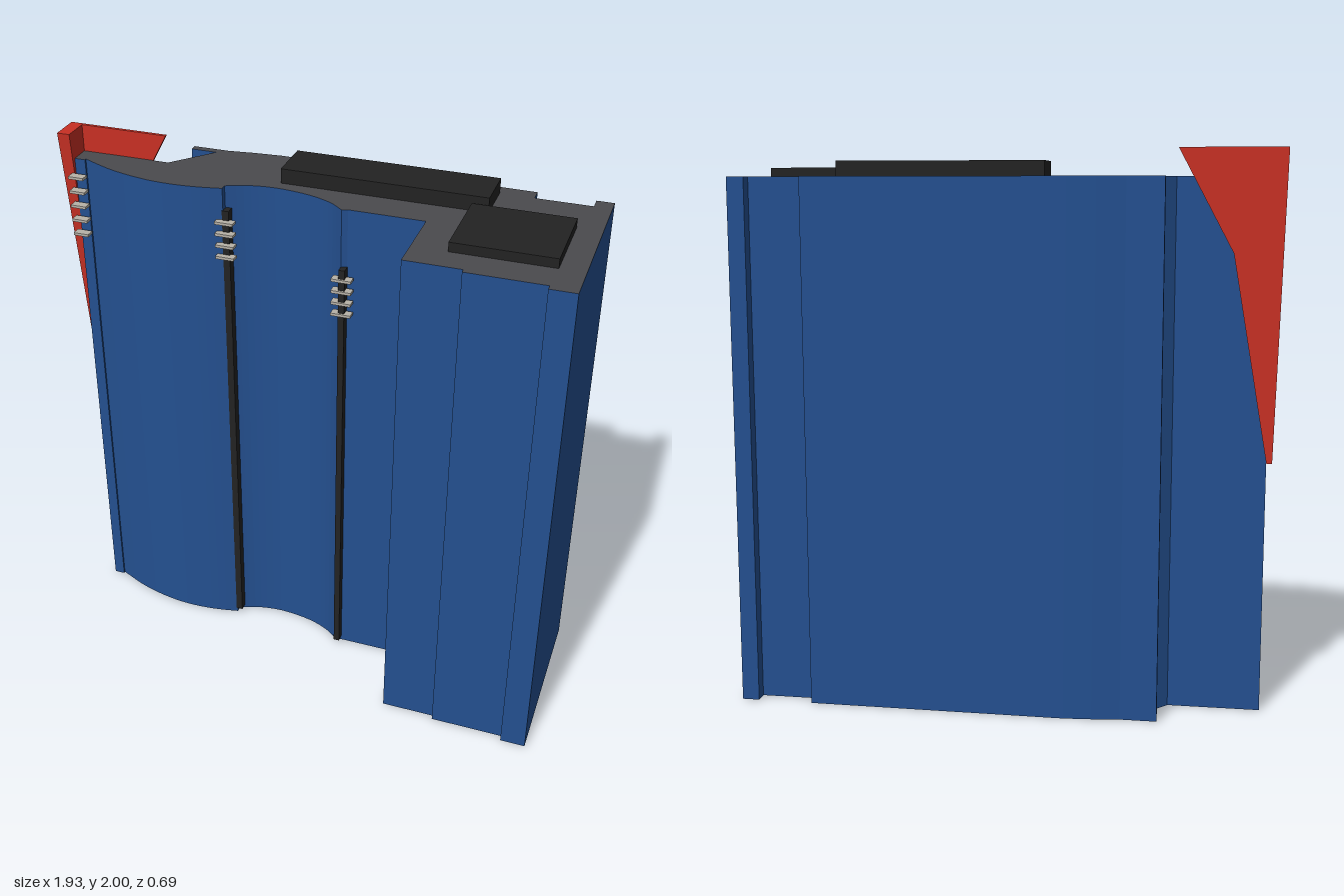
import * as THREE from 'three';

const mat = (name, color) => {
  const m = new THREE.MeshStandardMaterial({ color });
  m.name = name;
  return m;
};

export function createModel() {
  const blue = mat('blue paint', 0x245090);
  const grey = mat('dark grey top', 0x4a4a4e);
  const black = mat('black', 0x232323);
  const red = mat('red', 0xc83024);
  const metal = mat('pale metal', 0xb8b2a8);
  const model = new THREE.Group();

  const add = (name, geo, material) => {
    const m = new THREE.Mesh(geo, material);
    m.name = name;
    model.add(m);
    return m;
  };
  // box given by its limits on each axis
  const box = (name, [x0, x1], [y0, y1], [z0, z1], material) =>
    add(name, new THREE.BoxGeometry(x1 - x0, y1 - y0, z1 - z0), material)
      .position.set((x0 + x1) / 2, (y0 + y1) / 2, (z0 + z1) / 2);

  // footprint as (x, z), front curves sampled from splines
  const curve = (pts, n) => new THREE.SplineCurve(pts.map(p => new THREE.Vector2(...p)))
    .getPoints(n).map(p => [p.x, p.y]);
  const hollow = curve([[0.115, 0.018], [0.06, -0.025], [-0.03, -0.06], [-0.15, -0.076],
    [-0.25, -0.064], [-0.325, -0.035]], 18);
  const bulge = curve([[-0.325, -0.012], [-0.42, 0.006], [-0.52, 0.012], [-0.62, 0.003],
    [-0.75, -0.03], [-0.88, -0.088]], 18);
  const outline = [
    [-0.92, -0.155], [-0.59, -0.155], [-0.465, -0.298], [-0.56, -0.298], [-0.56, -0.325],
    [-0.43, -0.325], [-0.33, -0.338], [-0.23, -0.346], [0.70, -0.336], [0.70, -0.286],
    [0.90, -0.286], [0.90, -0.334], [0.962, -0.334],
    [0.962, 0.342], [0.87, 0.342], [0.87, 0.32], [0.60, 0.32], [0.60, 0.303], [0.402, 0.303],
    [0.402, 0.01], [0.135, 0.01], ...hollow, ...bulge, [-0.88, -0.08], [-0.92, -0.08],
  ];
  const footprint = new THREE.Shape(outline.map(([x, z]) => new THREE.Vector2(x, -z)));
  const prism = (y, depth) => new THREE.ExtrudeGeometry(footprint, { depth, bevelEnabled: false })
    .rotateX(-Math.PI / 2).translate(0, y, 0);
  add('cabinetBody', prism(0, 1.898), blue);
  add('topSkin', prism(1.898, 0.004), [grey, blue]);

  // raised covers on the top
  box('longTopCover', [-0.15, 0.58], [1.902, 1.955], [-0.29, -0.12], black);
  box('squareTopCover', [0.525, 0.875], [1.902, 1.935], [-0.105, 0.2], black);

  // vertical seams on the front
  box('leftSeam', [-0.328, -0.303], [0.02, 1.82], [-0.04, -0.008], black);
  box('rightSeam', [0.114, 0.136], [0.02, 1.69], [0, 0.042], black);

  // stacks of thin clips: x centre, half width, z limits, top y, spacing, count
  for (const [x, w, z, top, step, n] of [
    [-0.9, 0.029, [-0.068, -0.034], 1.845, 0.055, 5],
    [-0.315, 0.034, [-0.018, 0.014], 1.78, 0.044, 4],
    [0.125, 0.036, [0.018, 0.05], 1.652, 0.044, 4],
  ]) for (let i = 0; i < n; i++) {
    const y = top - i * step;
    box('clip', [x - w, x + w], [y - 0.005, y + 0.005], z, metal);
  }

  // red rear panel, tapering to a point
  const panel = new THREE.Shape([[-0.92, 2], [-0.92, 0.91], [-0.93, 0.91], [-0.94, 0.91],
    [-0.968, 2]].map(p => new THREE.Vector2(...p)).slice(1).concat(
    [[-0.595, 2], [-0.79, 1.64]].map(p => new THREE.Vector2(...p)).slice(0, 2)));
  add('rearPanel', new THREE.ExtrudeGeometry(panel, { depth: 0.012, bevelEnabled: false })
    .translate(0, 0, -0.169), red);

  // red side flange, narrowing towards the bottom
  const flange = new THREE.BoxGeometry(1, 1, 1);
  const p = flange.attributes.position;
  for (let i = 0; i < p.count; i++) {
    const top = p.getY(i) > 0;
    p.setXYZ(i, p.getX(i) > 0 ? -0.921 : (top ? -0.968 : -0.94), top ? 2 : 0.91,
      p.getZ(i) < 0 ? -0.168 : (top ? -0.057 : -0.15));
  }
  flange.computeVertexNormals();
  add('sideFlange', flange, red);

  return model;
}
